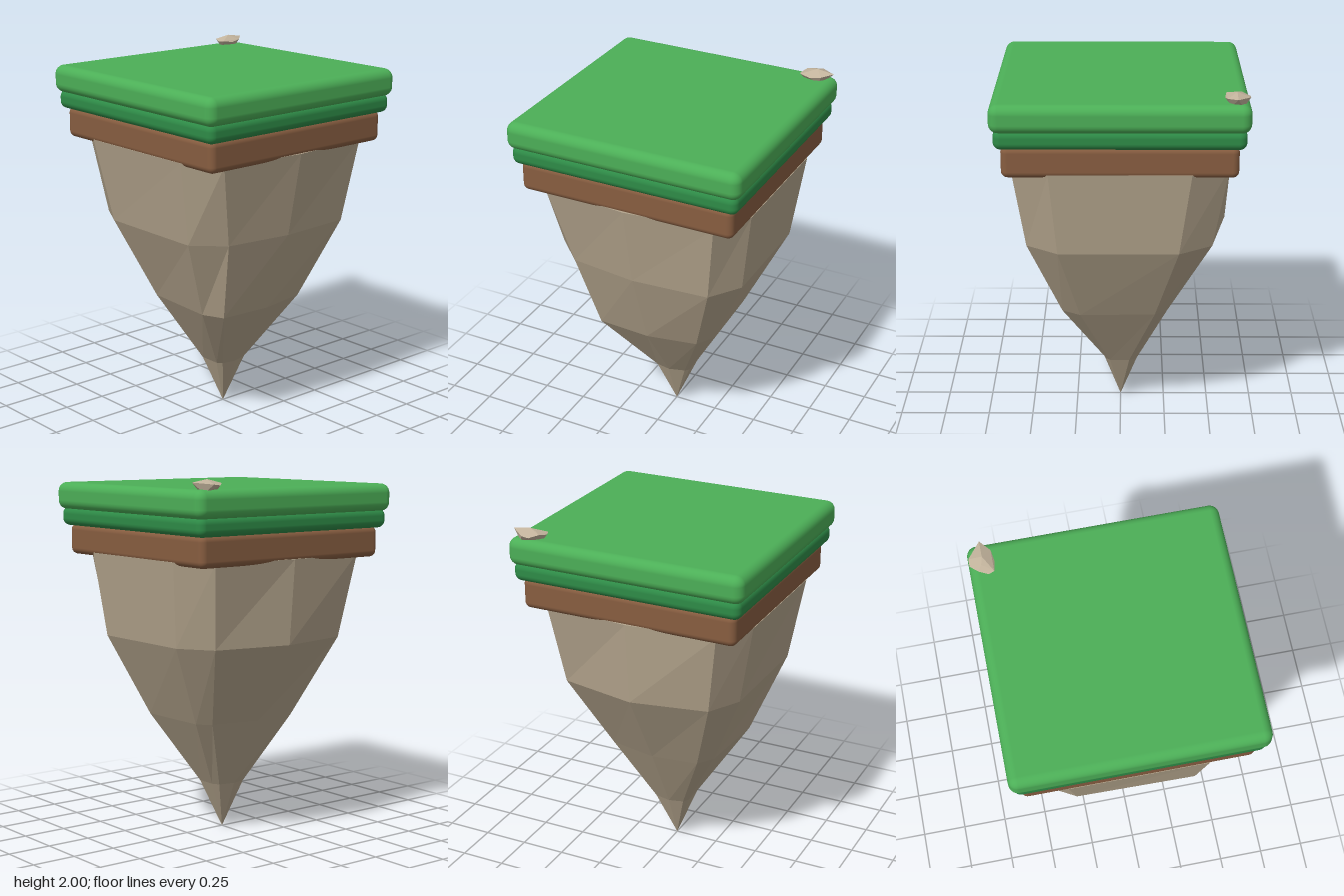
import * as THREE from 'three';
import { RoundedBoxGeometry } from 'three/addons/geometries/RoundedBoxGeometry.js';
import { ConvexGeometry } from 'three/addons/geometries/ConvexGeometry.js';

// Ten-sided rock rings [x, z], from the front middle round by +x, top to bottom
const RINGS = [
  { y: 1.57, p: [[0, .62], [.49, .57], [.61, .37], [.61, -.37], [.49, -.57], [0, -.62], [-.49, -.57], [-.61, -.37], [-.61, .37], [-.49, .57]] },
  { y: 1.11, p: [[0, .53], [.43, .5], [.55, .33], [.55, -.31], [.43, -.49], [0, -.58], [-.42, -.5], [-.52, -.32], [-.53, .33], [-.38, .48]] },
  { y: .66, p: [[0, .37], [.28, .32], [.34, .22], [.33, -.19], [.27, -.26], [0, -.32], [-.26, -.29], [-.32, -.2], [-.35, .23], [-.3, .35]] },
  { y: .27, p: [[0, .105], [.09, .08], [.11, .06], [.11, -.05], [.09, -.09], [0, -.11], [-.08, -.09], [-.1, -.06], [-.1, .06], [-.08, .09]] },
];

function rockGeometry() {
  const n = 10;
  const pos = [];
  const rings = RINGS.map(({ y, p }) => p.map(([x, z]) => [x, y, z]));
  const tri = (...corners) => corners.forEach((c) => pos.push(...c));
  for (let j = 0; j < n; j++) {
    const k = (j + 1) % n;
    for (let i = 0; i < rings.length - 1; i++) {
      const up = rings[i], low = rings[i + 1];
      tri(low[j], low[k], up[k]);
      tri(low[j], up[k], up[j]);
    }
    const last = rings[rings.length - 1];
    tri([0, 0, 0], last[k], last[j]);             // tip
    tri([0, RINGS[0].y, 0], rings[0][j], rings[0][k]); // top cap
  }
  const g = new THREE.BufferGeometry();
  g.setAttribute('position', new THREE.Float32BufferAttribute(pos, 3));
  g.computeVertexNormals();
  return g;
}

export function createModel() {
  const group = new THREE.Group();
  const add = (name, geometry, color, flatShading = false) => {
    const mesh = new THREE.Mesh(geometry, new THREE.MeshStandardMaterial({ color, flatShading }));
    mesh.name = name;
    group.add(mesh);
    return mesh;
  };

  // Stacked soft-edged slabs: width, bottom, top, edge radius
  const slab = (name, width, y0, y1, r, color) => {
    add(name, new RoundedBoxGeometry(width, y1 - y0, width, 4, r), color).position.y = (y0 + y1) / 2;
  };
  slab('grassTop', 1.33, 1.8, 1.95, .05, 0x4caf57);
  slab('grassUnderlayer', 1.29, 1.71, 1.815, .04, 0x2e8b47);
  slab('dirtLayer', 1.22, 1.55, 1.72, .035, 0x875d40);

  // Tapering rock underside
  add('rockUnderside', rockGeometry(), 0xb3a48c, true);

  // Small faceted stone on the back corner
  const stone = [
    [.47, 1.97, -.57], [.49, 1.98, -.62], [.53, 1.97, -.66], [.57, 1.975, -.66],
    [.655, 1.985, -.59], [.6, 1.975, -.54], [.54, 1.965, -.53], [.48, 1.975, -.54],
    [.56, 2, -.59], [.52, 1.99, -.6], [.5, 1.93, -.58], [.6, 1.93, -.62], [.58, 1.93, -.56],
  ].map((p) => new THREE.Vector3(...p));
  add('smallStone', new ConvexGeometry(stone), 0xc2b39c, true);

  return group;
}
